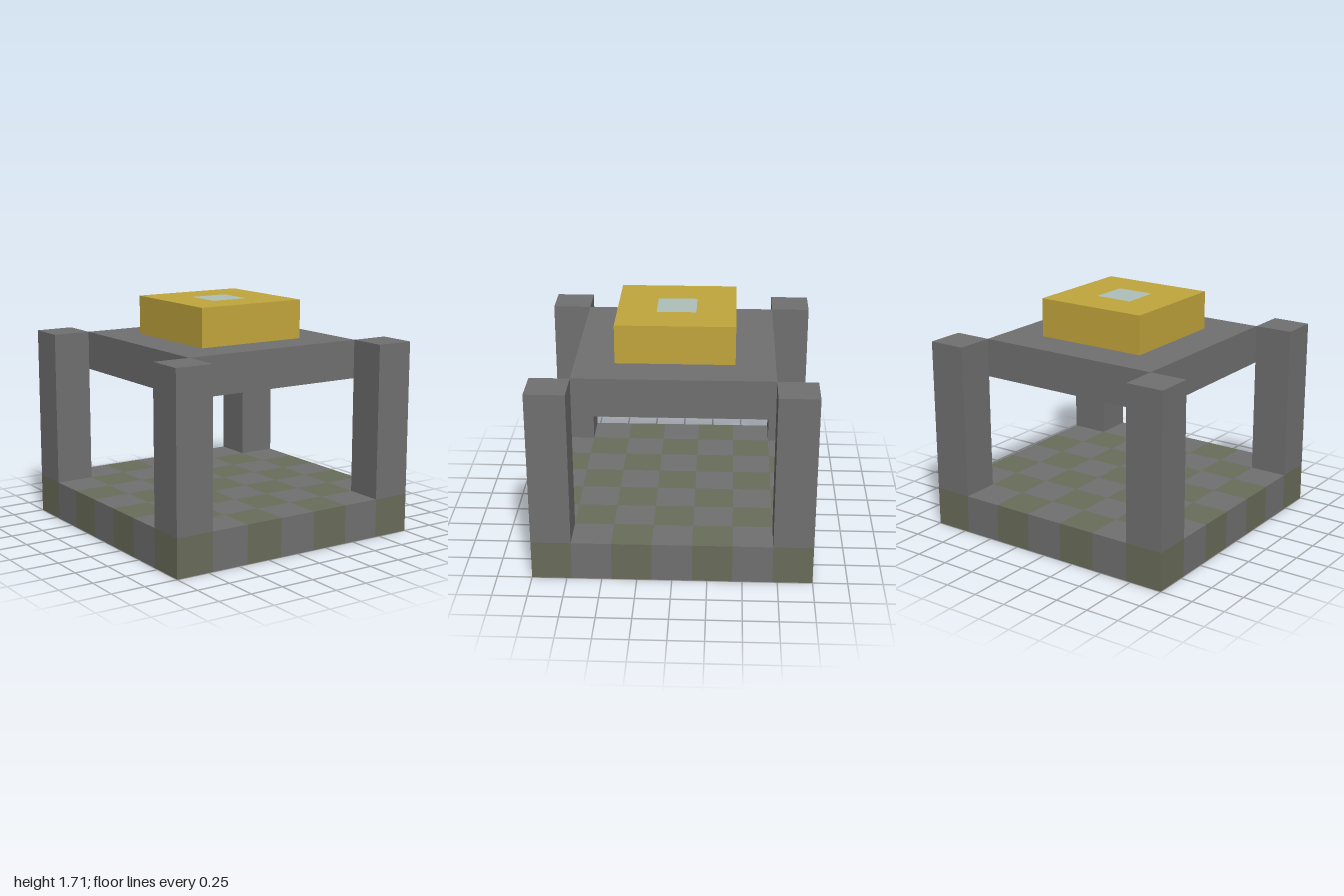
import * as THREE from 'three';

const U = 2 / 7; // one grid cell

const material = (name, color) => {
  const m = new THREE.MeshStandardMaterial({ color });
  m.name = name;
  return m;
};

// Box on a grid of unit cells; pick(i, j, y) chooses the material index of each face cell
function cellBox(name, n, bottom, materials, pick) {
  const geometry = new THREE.BoxGeometry(n * U, U, n * U, n, 1, n);
  const { position } = geometry.attributes;
  const index = geometry.index;
  const cell = (v) => Math.min(n - 1, Math.max(0, Math.floor(v / U + n / 2)));
  geometry.clearGroups();
  for (let s = 0; s < index.count; s += 6) {
    const c = new THREE.Vector3();
    const p = new THREE.Vector3();
    for (let k = 0; k < 6; k++) c.add(p.fromBufferAttribute(position, index.getX(s + k)));
    c.divideScalar(6);
    geometry.addGroup(s, 6, pick(cell(c.x), cell(c.z), c.y));
  }
  const mesh = new THREE.Mesh(geometry, materials);
  mesh.name = name;
  mesh.position.y = bottom + U / 2;
  return mesh;
}

export function createModel() {
  const model = new THREE.Group();
  model.name = 'pavilion';
  const stone = material('stone grey', 0x707070);
  const moss = material('mossy stone', 0x696d5a);
  const gold = material('gold', 0xc2a63c);
  const pale = material('pale blue', 0xaec0ba);

  // Checkered floor
  model.add(cellBox('floor', 7, 0, [stone, moss], (i, j) => ((i + j) % 2 === 0 ? 1 : 0)));

  // Corner pillars
  for (const x of [-1, 1]) {
    for (const z of [-1, 1]) {
      const pillar = new THREE.Mesh(new THREE.BoxGeometry(U, 4 * U, U), stone);
      pillar.name = 'pillar';
      pillar.position.set(x * 3 * U, 3 * U, z * 3 * U);
      model.add(pillar);
    }
  }

  // Roof slab between the pillars
  const roof = new THREE.Mesh(new THREE.BoxGeometry(5 * U, U, 5 * U), stone);
  roof.name = 'roof';
  roof.position.y = 4.5 * U;
  model.add(roof);

  // Gold cap with a pale centre cell on top
  model.add(cellBox('cap', 3, 5 * U, [gold, pale],
    (i, j, y) => (i === 1 && j === 1 && y > 0.1 ? 1 : 0)));

  return model;
}
